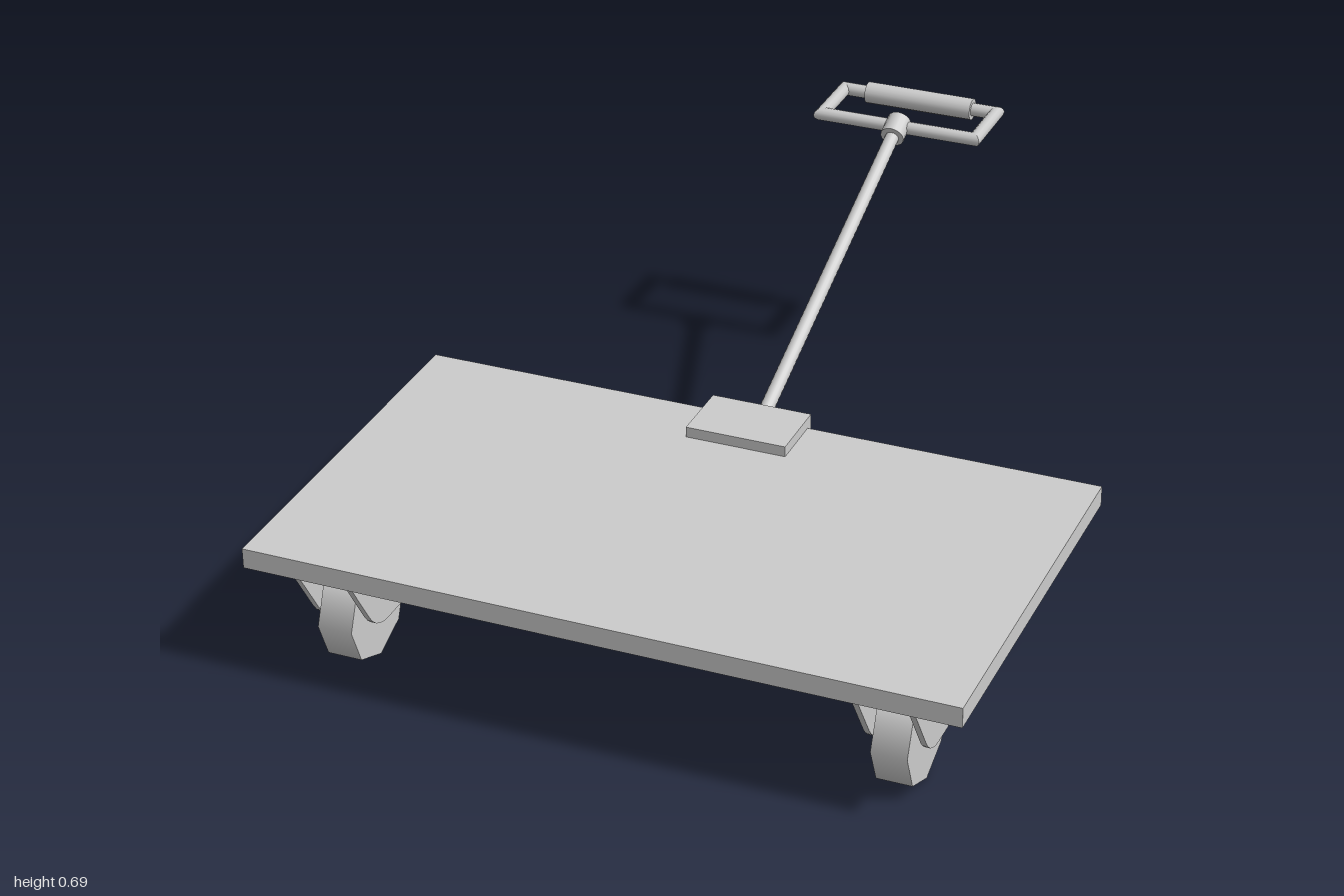
import * as THREE from 'three';

const material = new THREE.MeshStandardMaterial({ color: 0xcccccc });

function addMesh(parent, name, geometry, x = 0, y = 0, z = 0) {
  const mesh = new THREE.Mesh(geometry, material);
  mesh.name = name;
  mesh.position.set(x, y, z);
  parent.add(mesh);
  return mesh;
}

// One caster: octagonal wheel under a U-shaped bracket that leans toward +z
function createCaster() {
  const caster = new THREE.Group();
  const wheel = new THREE.CylinderGeometry(0.125, 0.125, 0.08, 8).rotateZ(Math.PI / 2);
  addMesh(caster, 'wheel', wheel, 0, 0.127, 0);

  const side = new THREE.Shape();
  side.moveTo(0.171, 0.28);
  side.lineTo(0.092, 0.155);
  side.quadraticCurveTo(0.062, 0.108, 0.01, 0.108);
  side.lineTo(-0.048, 0.108);
  side.lineTo(-0.09, 0.214);
  side.lineTo(-0.048, 0.28);
  const plate = new THREE.ExtrudeGeometry(side, { depth: 0.013, bevelEnabled: false, curveSegments: 5 });
  plate.translate(0, 0, -0.0065).rotateY(-Math.PI / 2);
  for (const s of [-1, 1]) addMesh(caster, 'bracketSide', plate, s * 0.0615, 0, 0);
  addMesh(caster, 'bracketTop', new THREE.BoxGeometry(0.136, 0.013, 0.212), 0, 0.2735, 0.0575);
  return caster;
}

// Tube of a frame side: each end is sheared to 45 degrees so corners meet in a mitre
function mitredTube(length, radius) {
  const geometry = new THREE.CylinderGeometry(radius, radius, length, 12, 1, true);
  const p = geometry.attributes.position;
  for (let i = 0; i < p.count; i++) {
    p.setY(i, p.getY(i) + Math.sign(p.getY(i)) * p.getX(i));
  }
  return geometry;
}

// Rectangular pull handle lying flat, with a thicker grip on the far side
function createHandle() {
  const handle = new THREE.Group();
  const halfX = 0.195, halfZ = 0.079;
  for (let i = 0; i < 4; i++) {
    const along = i % 2 ? halfX : halfZ;
    const out = i % 2 ? halfZ : halfX;
    const tube = mitredTube(along * 2, 0.016);
    tube.rotateX(Math.PI / 2).translate(out, 0, 0).rotateY(i * Math.PI / 2);
    addMesh(handle, 'handleFrame', tube);
  }
  const grip = new THREE.CylinderGeometry(0.026, 0.026, 0.27, 16).rotateZ(Math.PI / 2);
  addMesh(handle, 'grip', grip, 0, 0, -halfZ);
  return handle;
}

// Cylinder running between two points
function addRod(parent, name, from, to, radius) {
  const dir = to.clone().sub(from);
  const rod = addMesh(parent, name, new THREE.CylinderGeometry(radius, radius, dir.length(), 16));
  rod.position.copy(from).addScaledVector(dir, 0.5);
  rod.quaternion.setFromUnitVectors(new THREE.Vector3(0, 1, 0), dir.normalize());
}

export function createModel() {
  const model = new THREE.Group();
  model.name = 'platformCart';

  // Load deck and the block that holds the pull shaft
  addMesh(model, 'deck', new THREE.BoxGeometry(1.61, 0.047, 0.92), 0, 0.303, 0.54);
  addMesh(model, 'shaftMount', new THREE.BoxGeometry(0.237, 0.095, 0.157), 0, 0.304, 0.138);

  // Four casters, brackets leaning to the outer edges
  for (const x of [-0.63, 0.63]) {
    for (const s of [-1, 1]) {
      const caster = createCaster();
      caster.name = 'caster';
      caster.position.set(x, 0, 0.543 + s * 0.271);
      if (s < 0) caster.rotation.y = Math.PI;
      model.add(caster);
    }
  }

  // Sloping shaft, end socket and handle
  const bottom = new THREE.Vector3(0, 0.302, 0.09);
  const top = new THREE.Vector3(0, 0.66, -0.81);
  addRod(model, 'shaft', bottom, top, 0.0165);
  const dir = top.clone().sub(bottom).normalize();
  const socketCentre = new THREE.Vector3(0, 0.658, -0.802);
  addRod(model, 'socket',
    socketCentre.clone().addScaledVector(dir, -0.028),
    socketCentre.clone().addScaledVector(dir, 0.028), 0.029);
  const handle = createHandle();
  handle.name = 'handle';
  handle.position.set(0, 0.658, -0.895);
  model.add(handle);

  return model;
}
